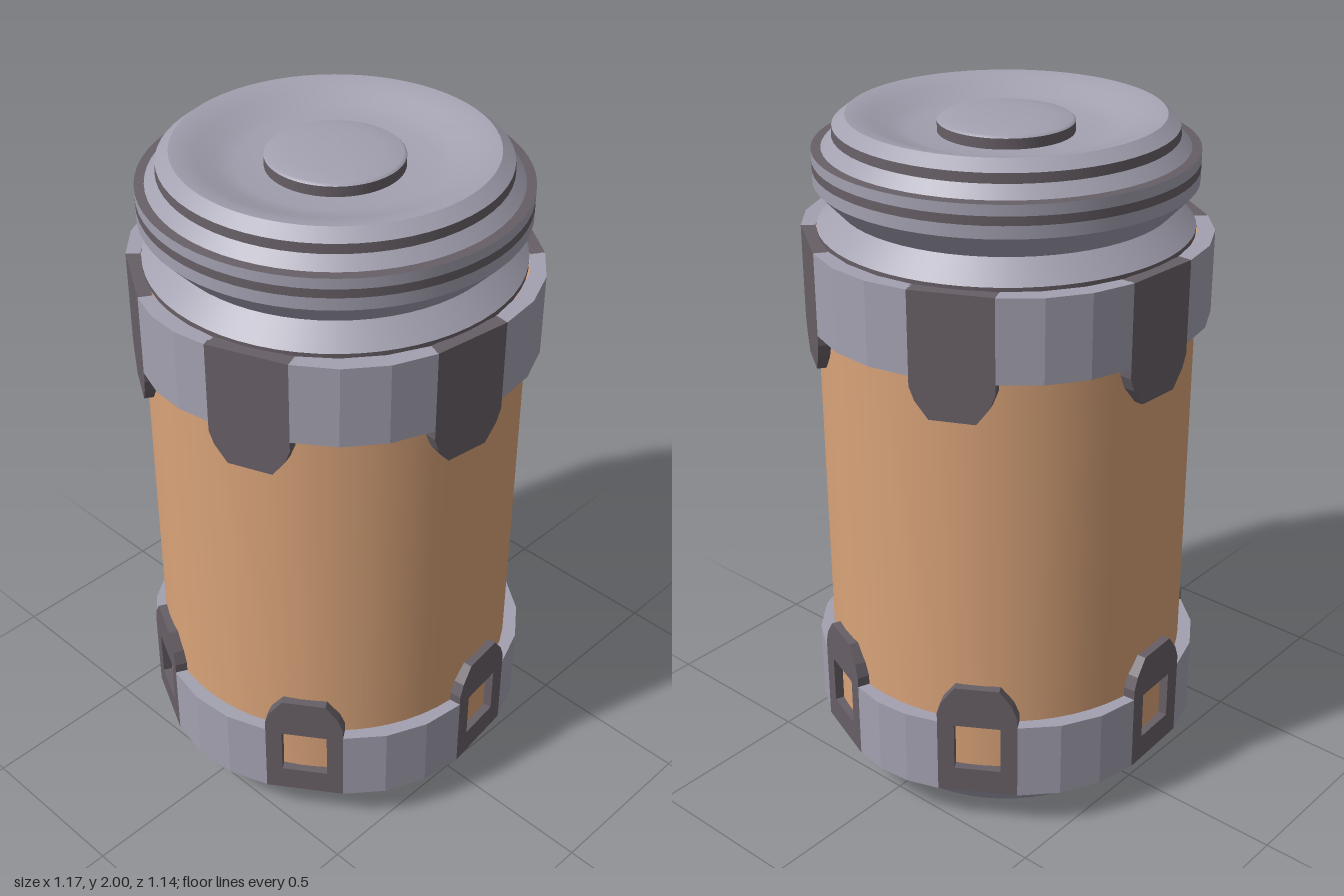
import * as THREE from 'three';

const material = (name, color) => {
  const m = new THREE.MeshStandardMaterial({ color });
  m.name = name;
  return m;
};

export function createModel() {
  const grey = material('light grey metal', 0xa3a1b0);
  const dark = material('dark trim', 0x675f66);
  const orange = material('orange body', 0xd9a379);

  const model = new THREE.Group();
  model.name = 'canister';

  const add = (parent, name, geometry, mat) => {
    const mesh = new THREE.Mesh(geometry, mat);
    mesh.name = name;
    parent.add(mesh);
    return mesh;
  };

  // Turned surface; points run from the lower axis outward and up
  const turned = (name, points, mat) =>
    add(model, name, new THREE.LatheGeometry(points.map(([r, y]) => new THREE.Vector2(r, y)), 64), mat);

  // Base
  turned('baseUnderside', [[0, 0], [0.44, 0]], grey);
  turned('baseCone', [[0.44, 0], [0.535, 0.105]], grey);
  turned('baseTrim', [[0.535, 0.105], [0.535, 0.12]], dark);
  turned('baseLedge', [[0.535, 0.12], [0.56, 0.121]], dark);

  // Body
  turned('body', [[0.54, 0.12], [0.54, 1.675]], orange);
  turned('bodyTop', [[0.54, 1.675], [0.5, 1.675]], orange);

  // Neck and lid
  turned('neckTrim', [[0.53, 1.675], [0.53, 1.69]], dark);
  turned('neckCone', [[0.53, 1.69], [0.47, 1.75]], grey);
  turned('lidUnderside', [[0.47, 1.75], [0.535, 1.82]], grey);
  turned('lidCollarLower', [[0.535, 1.82], [0.535, 1.855]], grey);
  turned('lidCollarStripe', [[0.535, 1.855], [0.535, 1.88]], dark);
  turned('lidCollarUpper', [[0.535, 1.88], [0.535, 1.91]], grey);
  turned('lidLedge', [[0.535, 1.91], [0.508, 1.912]], dark);
  turned('lidConeLower', [[0.508, 1.912], [0.478, 1.945]], grey);
  turned('lidConeStripe', [[0.478, 1.945], [0.476, 1.972]], dark);
  turned('lidConeUpper', [[0.476, 1.972], [0.44, 2]], grey);
  turned('lidDish', [[0.44, 2], [0.41, 1.996], [0.37, 1.983], [0.32, 1.963], [0.27, 1.95], [0.18, 1.945]], grey);
  turned('buttonSide', [[0.19, 1.944], [0.19, 1.975]], dark);
  turned('buttonTop', [[0.19, 1.975], [0.182, 1.982], [0.13, 1.988], [0.07, 1.992], [0, 1.993]], grey);

  // Clasp band: six flat tabs joined by faceted ring pieces
  const tabAngles = [-7, 55, 116, 177, 238, 291];
  const halfTab = 11.75;
  const radius = 0.575;
  const rad = THREE.MathUtils.degToRad;

  const makeBand = (name, withWindows) => {
    const band = new THREE.Group();
    band.name = name;

    // Tab outline with a chamfered tip, optionally with a window
    const w = radius * Math.sin(rad(halfTab));
    const outline = new THREE.Shape([
      [-w, 1.68], [-w, 1.41], [-w + 0.015, 1.37], [-0.065, 1.32],
      [0.065, 1.32], [w - 0.015, 1.37], [w, 1.41], [w, 1.68],
    ].map(([x, y]) => new THREE.Vector2(x, y)));
    if (withWindows) {
      outline.holes.push(new THREE.Path([
        [-0.068, 1.45], [-0.068, 1.6], [0.068, 1.6], [0.068, 1.45],
      ].map(([x, y]) => new THREE.Vector2(x, y))));
    }
    const depth = 0.04;
    const tab = new THREE.ExtrudeGeometry(outline, { depth, bevelEnabled: false });
    tab.translate(0, 0, radius * Math.cos(rad(halfTab)) - depth);

    tabAngles.forEach((angle, i) => {
      add(band, 'tab', tab, dark).rotation.y = rad(angle);

      // Ring piece from this tab to the next
      const start = angle + halfTab;
      const next = i < 5 ? tabAngles[i + 1] : tabAngles[0] + 360;
      const span = next - halfTab - start;
      const at = (r, t) => {
        const a = rad(start + span * t);
        return new THREE.Vector2(r * Math.sin(a), -r * Math.cos(a));
      };
      const steps = [0, 1 / 3, 2 / 3, 1];
      const outer = steps.map((t) => at(t > 0 && t < 1 ? 0.583 : radius, t));
      const inner = steps.map((t) => at(0.535, t)).reverse();
      const piece = new THREE.ExtrudeGeometry(new THREE.Shape([...outer, ...inner]), { depth: 0.24, bevelEnabled: false });
      piece.rotateX(-Math.PI / 2);
      piece.translate(0, 1.44, 0);
      add(band, 'ringPiece', piece, grey);
    });
    model.add(band);
    return band;
  };

  makeBand('upperBand', false);
  // The lower band is the same part turned upside down
  const lower = makeBand('lowerBand', true);
  lower.rotation.z = Math.PI;
  lower.position.y = 1.8;

  return model;
}
